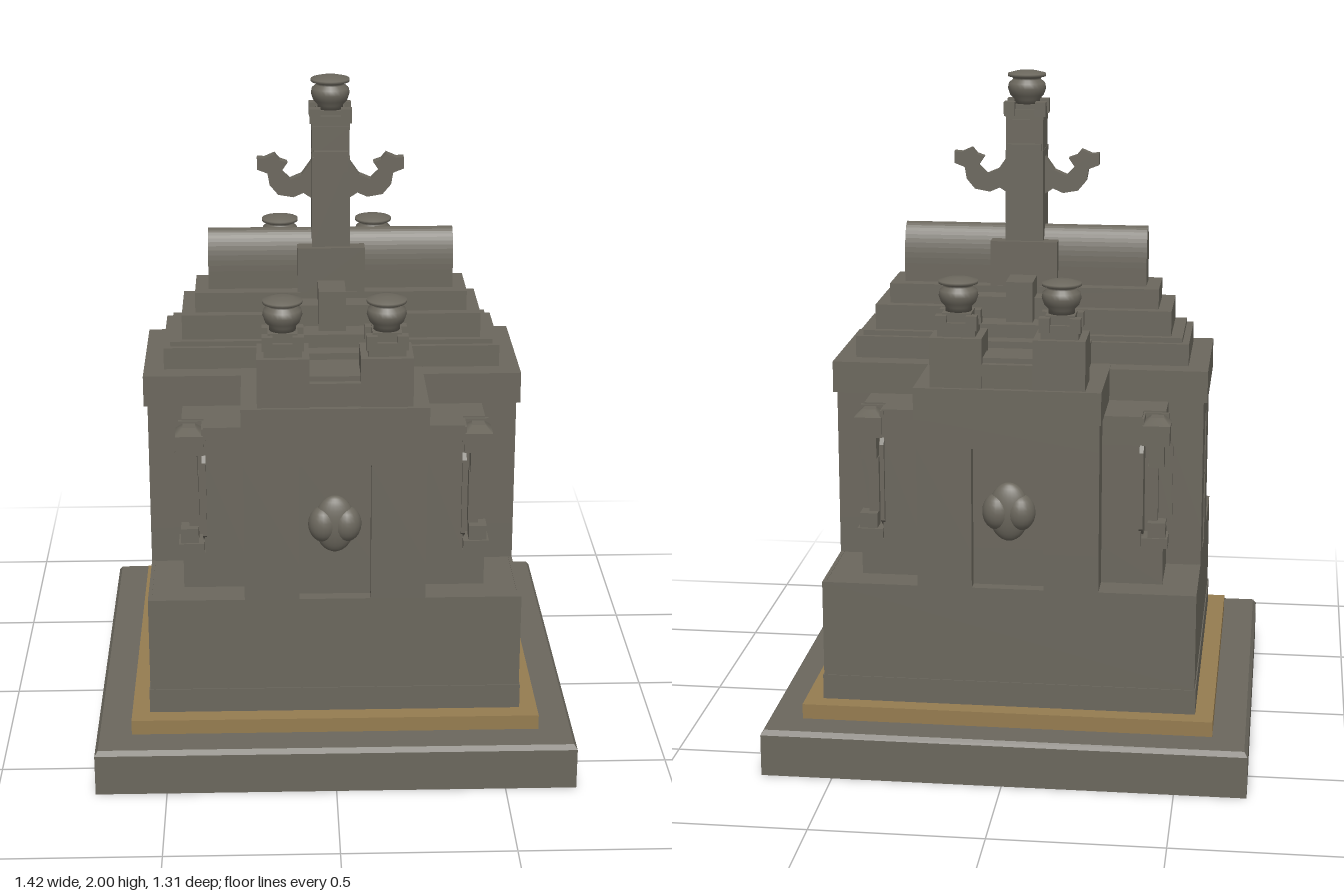
import * as THREE from 'three';

export function createModel() {
  const model = new THREE.Group();
  const stone = new THREE.MeshStandardMaterial({ color: 0x6b675d });
  stone.name = 'weathered stone';
  const gold = new THREE.MeshStandardMaterial({ color: 0x957c50 });
  gold.name = 'ochre trim';

  const add = (name, geo, mat = stone, parent = model) => {
    const mesh = new THREE.Mesh(geo, mat);
    mesh.name = name;
    parent.add(mesh);
    return mesh;
  };
  // Box given by half widths and a height range, centred on (cx, cz)
  const block = (name, hx, hz, y0, y1, cx = 0, cz = 0, parent = model) => {
    const geo = new THREE.BoxGeometry(hx * 2, y1 - y0, hz * 2);
    geo.translate(cx, (y0 + y1) / 2, cz);
    return add(name, geo, stone, parent);
  };
  const polygon = (pts) => new THREE.Shape(pts.map((p) => new THREE.Vector2(p[0], p[1])));
  const rect = (hx, hz) => polygon([[-hx, -hz], [hx, -hz], [hx, hz], [-hx, hz]]);
  const extrude = (shape, depth) =>
    new THREE.ExtrudeGeometry(shape, { depth, bevelEnabled: false, curveSegments: 12 });
  // Plan outline, with an optional hole, raised from y0 to y1
  const raise = (shape, y0, y1, hole) => {
    if (hole) shape.holes.push(hole);
    return extrude(shape, y1 - y0).rotateX(-Math.PI / 2).translate(0, y0, 0);
  };
  // Full plan from the points of one quarter
  const mirrorPlan = (q) => {
    const back = [...q].reverse();
    return polygon([...q, ...back.map(([x, z]) => [-x, z]),
      ...q.map(([x, z]) => [-x, -z]), ...back.map(([x, z]) => [x, -z])]);
  };
  const cavity = () => mirrorPlan([[0.5, 0.2], [0.37, 0.2], [0.37, 0.315], [0.255, 0.315], [0.255, 0.445]]);

  // Thin-walled stepped foundation, open underneath
  add('baseWall', raise(rect(0.71, 0.655), 0, 0.125, rect(0.698, 0.643)));
  const chamfer = new THREE.CylinderGeometry(0.7 * Math.SQRT2, 0.71 * Math.SQRT2, 0.015, 4, 1, true)
    .rotateY(Math.PI / 4).scale(1, 1, 0.655 / 0.71).translate(0, 0.1325, 0).toNonIndexed();
  chamfer.computeVertexNormals();
  add('baseChamfer', chamfer);
  add('baseTop', raise(rect(0.7, 0.6458), 0.122, 0.14, rect(0.538, 0.483)));
  add('trimBand', raise(rect(0.605, 0.55), 0.14, 0.185, rect(0.545, 0.49)), gold);
  add('plinthFoot', raise(rect(0.552, 0.497), 0.13, 0.26, rect(0.538, 0.483)));
  add('plinthWall', raise(rect(0.549, 0.494), 0.26, 0.55, rect(0.538, 0.483)));
  add('plinthDeck', raise(rect(0.545, 0.49), 0.535, 0.549, cavity()));

  // Hollow cross-shaped body: niches in the four arms, notches in the four piers
  const sideNiche = [[0.51, 0.05], [0.549, 0.05]];
  const frontNiche = [[0.105, 0.494], [0.105, 0.455]];
  const pier = [[0.549, 0.21], [0.445, 0.21], [0.445, 0.4], [0.265, 0.4], [0.265, 0.494]];
  const notchedPier = [[0.549, 0.21], [0.445, 0.21], [0.445, 0.326], [0.38, 0.326],
    [0.38, 0.4], [0.265, 0.4], [0.265, 0.494]];
  add('bodyFoot', raise(mirrorPlan([...sideNiche, ...pier, ...frontNiche]), 0.549, 0.66, cavity()));
  add('bodyWall', raise(mirrorPlan([...sideNiche, ...notchedPier, ...frontNiche]), 0.66, 0.97, cavity()));
  add('bodyTop', raise(mirrorPlan(notchedPier), 0.97, 1.055));

  for (const s of [1, -1]) {
    // Round medallion with two raised lobes
    const medallion = new THREE.Group();
    medallion.name = s > 0 ? 'frontMedallion' : 'backMedallion';
    medallion.position.set(0, 0.775, s * 0.458);
    model.add(medallion);
    const disc = add('medallionDisc', new THREE.SphereGeometry(1, 24, 16), stone, medallion);
    disc.scale.set(0.06, 0.088, 0.034);
    for (const m of [-1, 1]) {
      const lobe = add('medallionLobe', new THREE.SphereGeometry(1, 20, 12), stone, medallion);
      lobe.scale.set(0.044, 0.055, 0.042);
      lobe.position.x = m * 0.034;
    }
    // Narrow diamond boss in each side niche
    const gem = add('diamondBoss', new THREE.CylinderGeometry(0, 1, 1, 4).rotateX(Math.PI / 2));
    gem.scale.set(0.025, 0.077, 0.04);
    gem.rotation.y = s * Math.PI / 2;
    gem.position.set(s * 0.53, 0.777, 0);
  }

  // Carved brackets in the notches, framed by two cheeks each
  const cheek = [[0, 0.66], [0.05, 0.66], [0.05, 0.695], [0.087, 0.72], [0.087, 0.95],
    [0.075, 0.97], [0.075, 1.05], [0, 1.05]];
  for (const sx of [-1, 1]) for (const sz of [-1, 1]) {
    const corner = new THREE.Group();
    corner.name = 'cornerBracket';
    corner.position.set(sx * 0.38, 0, sz * 0.326);
    model.add(corner);
    add('cheek', extrude(polygon(cheek.map(([u, y]) => [sx * u, y])), 0.012)
      .translate(0, 0, -0.006), stone, corner);
    add('cheek', extrude(polygon(cheek.map(([u, y]) => [sz * u, y])), 0.012)
      .translate(0, 0, -0.006).rotateY(-Math.PI / 2), stone, corner);
    const at = (name, h, y0, y1, off) => block(name, h, h, y0, y1, sx * off, sz * off, corner);
    at('bracketFoot', 0.038, 0.66, 0.69, 0.04);
    at('bracketBase', 0.026, 0.69, 0.735, 0.045);
    at('bracketStem', 0.015, 0.735, 0.9, 0.032);
    at('bracketHead', 0.022, 0.9, 0.97, 0.042);
    at('bracketCanopy', 0.04, 0.97, 1.03, 0.04);
    add('bracketCap', new THREE.CylinderGeometry(0.026, 0.056, 0.02, 4).rotateY(Math.PI / 4)
      .translate(sx * 0.042, 1.04, sz * 0.042), stone, corner);
  }

  // Cornice and stepped roof, as [halfX, halfZ, bottom, top]
  const tiers = [
    ['frontBackCornice', 0.27, 0.507, 1.055, 1.15],
    ['sideCornice', 0.56, 0.218, 1.055, 1.149],
    ['frontBackTerrace', 0.21, 0.49, 1.15, 1.22],
    ['roofStep', 0.5, 0.155, 1.149, 1.215],
    ['roofStep', 0.48, 0.14, 1.215, 1.23],
    ['roofStep', 0.445, 0.12, 1.23, 1.305],
    ['roofStep', 0.405, 0.09, 1.305, 1.365],
    ['crossStep', 0.145, 0.285, 1.22, 1.24],
    ['crossStep', 0.175, 0.235, 1.22, 1.28],
    ['crossStep', 0.15, 0.155, 1.28, 1.345],
    ['crossRib', 0.04, 0.2, 1.28, 1.4],
    ['towerFoot', 0.1, 0.088, 1.345, 1.5],
  ];
  tiers.forEach((t) => block(...t));

  // Tall vaulted ridge
  const vault = new THREE.Shape();
  vault.moveTo(-0.05, 1.365);
  vault.lineTo(0.05, 1.365);
  vault.lineTo(0.05, 1.42);
  vault.bezierCurveTo(0.05, 1.49, 0.03, 1.54, 0, 1.54);
  vault.bezierCurveTo(-0.03, 1.54, -0.05, 1.49, -0.05, 1.42);
  add('vaultedRidge', extrude(vault, 0.73).translate(0, 0, -0.365).rotateY(Math.PI / 2));

  // Crenellated crown with a neck and an urn
  const urnProfile = [[0, 0], [0.038, 0], [0.038, 0.012], [0.05, 0.025], [0.057, 0.045],
    [0.054, 0.06], [0.042, 0.07], [0.042, 0.076], [0.057, 0.08], [0.057, 0.088],
    [0.03, 0.095], [0, 0.097]].map(([r, y]) => new THREE.Vector2(r, y));
  const crown = (parent, x, z, y, h, urnY) => {
    block('crownBlock', h - 0.006, h - 0.006, y, y + 0.04, x, z, parent);
    for (const a of [-1, 1]) for (const b of [-1, 1])
      block('merlon', 0.016, 0.016, y + 0.02, y + 0.062, x + a * (h - 0.016), z + b * (h - 0.016), parent);
    block('crownNeck', 0.042, 0.042, y + 0.01, urnY, x, z, parent);
    add('urn', new THREE.LatheGeometry(urnProfile, 24), stone, parent).position.set(x, urnY, z);
  };

  // Four turrets, paired over front and back, with a low saddle between them
  for (const sz of [-1, 1]) {
    block('saddleWall', 0.075, 0.045, 1.22, 1.235, 0, sz * 0.425);
    for (const sx of [-1, 1]) {
      const turret = new THREE.Group();
      turret.name = 'turret';
      model.add(turret);
      block('turretBase', 0.075, 0.072, 1.15, 1.295, sx * 0.148, sz * 0.423, turret);
      crown(turret, sx * 0.148, sz * 0.423, 1.295, 0.06, 1.362);
    }
  }

  // Central tower
  const tower = new THREE.Group();
  tower.name = 'centralTower';
  model.add(tower);
  block('towerShaft', 0.056, 0.072, 1.5, 1.77, 0, 0, tower);
  block('towerBand', 0.05, 0.08, 1.73, 1.79, 0, 0, tower);
  block('towerUpper', 0.055, 0.062, 1.77, 1.86, 0, 0, tower);
  crown(tower, 0, 0, 1.85, 0.062, 1.903);

  // Upturned side horns
  const horn = [[0.05, 1.63], [0.08, 1.65], [0.11, 1.637], [0.155, 1.645], [0.18, 1.675],
    [0.186, 1.71], [0.217, 1.722], [0.217, 1.757], [0.195, 1.755], [0.165, 1.768],
    [0.15, 1.75], [0.127, 1.742], [0.145, 1.715], [0.12, 1.69], [0.085, 1.705], [0.05, 1.755]];
  for (const s of [-1, 1])
    add(s > 0 ? 'leftHorn' : 'rightHorn',
      extrude(polygon(horn.map(([x, y]) => [s * x, y])), 0.034).translate(0, 0, -0.017), stone, tower);

  return model;
}
